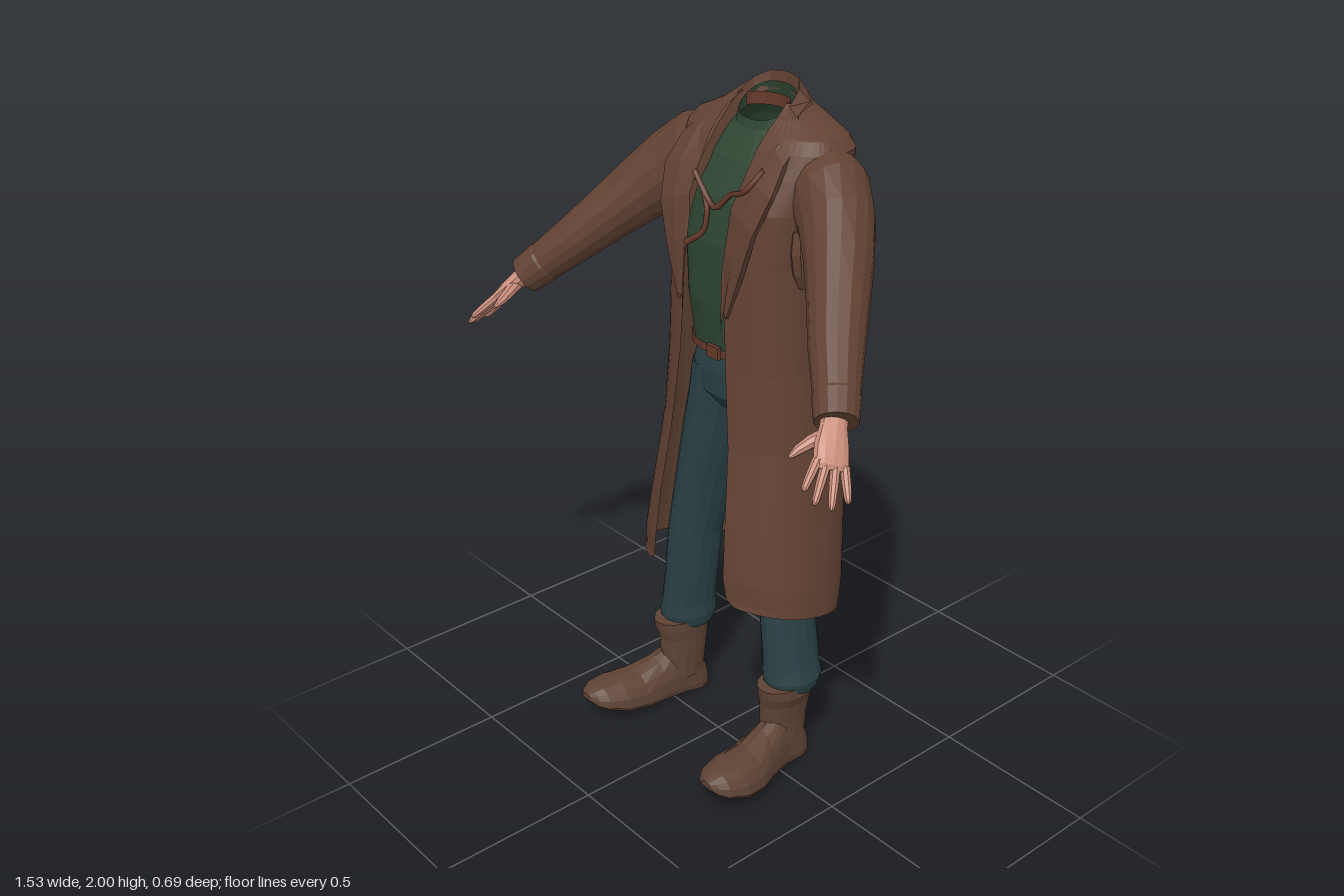
import * as THREE from 'three';

const V = (x, y, z) => new THREE.Vector3(x, y, z);
const mat = (name, color) => {
  const m = new THREE.MeshStandardMaterial({ color, side: THREE.DoubleSide });
  m.name = name;
  return m;
};
const spow = (v, e) => Math.sign(v) * Math.abs(v) ** e;

// Skin a list of point rings; faceted normals, optional closing and end caps
function loft(rings, closed = true, caps = true) {
  const n = rings[0].length, pos = [], idx = [];
  rings.forEach((r) => r.forEach((p) => pos.push(p.x, p.y, p.z)));
  for (let i = 0; i < rings.length - 1; i++) {
    for (let j = 0; j < (closed ? n : n - 1); j++) {
      const a = i * n + j, b = i * n + (j + 1) % n;
      idx.push(a, b, a + n, b, b + n, a + n);
    }
  }
  if (closed && caps) {
    [0, rings.length - 1].forEach((i) => {
      const c = rings[i].reduce((s, p) => s.add(p), V(0, 0, 0)).divideScalar(n);
      const k = pos.length / 3;
      pos.push(c.x, c.y, c.z);
      for (let j = 0; j < n; j++) {
        const a = i * n + j, b = i * n + (j + 1) % n;
        if (i) idx.push(a, b, k); else idx.push(b, a, k);
      }
    });
  }
  let g = new THREE.BufferGeometry();
  g.setAttribute('position', new THREE.Float32BufferAttribute(pos, 3));
  g.setIndex(idx);
  g = g.toNonIndexed();
  g.computeVertexNormals();
  return g;
}

// Horizontal ring around (cx, y, cz)
const ringY = (y, cx, cz, rx, rz, n = 20, e = 1) => Array.from({ length: n }, (_, j) => {
  const a = (j / n) * Math.PI * 2;
  return V(cx + rx * spow(Math.sin(a), e), y, cz + rz * spow(Math.cos(a), e));
});

// Rings square to a path of [x, y, z, r1, r2]; r1 runs along the side direction
function limb(path, n = 12, side = V(0, 1, 0)) {
  const c = path.map((p) => V(p[0], p[1], p[2]));
  return loft(path.map((p, i) => {
    const t = c[Math.min(i + 1, c.length - 1)].clone().sub(c[Math.max(i - 1, 0)]).normalize();
    const u = side.clone().addScaledVector(t, -side.dot(t)).normalize();
    const v = t.clone().cross(u);
    return Array.from({ length: n }, (_, j) => {
      const a = (j / n) * Math.PI * 2;
      return c[i].clone().addScaledVector(u, p[3] * Math.cos(a)).addScaledVector(v, (p[4] ?? p[3]) * Math.sin(a));
    });
  }));
}

export function createModel() {
  const root = new THREE.Group();
  const coatMat = mat('coat brown', 0x624233), bootMat = mat('boot brown', 0x5e4335);
  const denim = mat('trouser teal', 0x2a4146), green = mat('shirt green', 0x2f4632);
  const skin = mat('skin', 0xc88c7a), leather = mat('red leather', 0x66392a);
  const add = (name, geo, m, parent = root) => {
    const mesh = new THREE.Mesh(geo, m);
    mesh.name = name;
    parent.add(mesh);
    return mesh;
  };

  // Coat body, open down the front: y, half width, front z, back z, opening half width
  const coatRows = [
    [1.945, 0.1, -0.15, -0.26, 0.085], [1.915, 0.17, -0.11, -0.28, 0.095], [1.88, 0.245, -0.075, -0.3, 0.095],
    [1.85, 0.27, -0.05, -0.312, 0.093], [1.79, 0.265, -0.015, -0.322, 0.09], [1.7, 0.25, 0.033, -0.325, 0.085],
    [1.55, 0.235, 0.05, -0.32, 0.08], [1.4, 0.24, 0.055, -0.31, 0.085], [1.25, 0.25, 0.06, -0.32, 0.095],
    [1.03, 0.275, 0.075, -0.345, 0.12], [0.8, 0.305, 0.105, -0.335, 0.14], [0.62, 0.33, 0.12, -0.315, 0.15],
    [0.55, 0.335, 0.117, -0.3, 0.16], [0.53, 0.335, 0.115, -0.295, 0.19],
  ];
  const N = 56;
  add('coatBody', loft(coatRows.map(([y, w, zf, zb, xo]) => {
    // boxy chest, rounder skirt
    const e = 0.75 + 0.12 * THREE.MathUtils.clamp((1.4 - y) / 0.4, 0, 1);
    const a0 = Math.asin((xo / w) ** (1 / e)), zc = (zf + zb) / 2, d = (zf - zb) / 2;
    return Array.from({ length: N + 1 }, (_, j) => {
      const a = a0 + (j / N) * (Math.PI * 2 - 2 * a0);
      const x = w * spow(Math.sin(a), e);
      // keep the front edge at its full depth
      let z = zc + d * spow(Math.cos(a) / (Math.cos(a) > 0 ? Math.cos(a0) ** 0.6 : 1), e);
      // back pleat, and a hem that drops toward the back
      const hem = THREE.MathUtils.clamp((0.9 - y) / 0.37, 0, 1);
      const yy = y + hem * (z + 0.09) * 0.2;
      if (z < zc && y < 1.05) z += 0.04 * Math.max(0, 1 - Math.abs(x) / 0.05) * Math.min(1, (1.05 - y) / 0.3);
      return V(x, yy, z);
    });
  }), false), coatMat);

  // Collar and lapels: inner point then outer point, from back of neck to lapel foot
  const half = [
    [0, 2, -0.24, 0, 1.92, -0.283], [0.055, 1.995, -0.23, 0.075, 1.915, -0.278],
    [0.088, 1.975, -0.2, 0.135, 1.9, -0.245], [0.1, 1.94, -0.155, 0.18, 1.89, -0.14],
    [0.098, 1.87, -0.085, 0.2, 1.83, -0.045], [0.09, 1.78, -0.01, 0.21, 1.755, 0.008],
    [0.083, 1.7, 0.03, 0.185, 1.66, 0.046], [0.08, 1.58, 0.05, 0.15, 1.55, 0.055],
    [0.085, 1.42, 0.058, 0.1, 1.41, 0.06],
  ];
  const both = [...half.slice(1).reverse().map((p) => [-p[0], p[1], p[2], -p[3], p[4], p[5]]), ...half];
  add('collar', loft(both.map(([a, b, c, d, e, f]) => [
    V(a * 0.93, b - 0.05, c + 0.004), V(a, b, c),
    V((a + d) / 2, (b + e) / 2 + 0.008, (c + f) / 2 + 0.004), V(d, e, f), V(d * 0.97, e - 0.005, f + (f < -0.2 ? 0.015 : -0.02)),
  ]), false), coatMat);

  // Shirt, open at a neckline that rises toward the back: y, half width, front z, back z, tilt
  add('shirt', loft([
    [1.25, 0.17, 0.005, -0.26, 0], [1.4, 0.19, 0.02, -0.27, 0], [1.58, 0.2, 0.022, -0.28, 0], [1.7, 0.2, 0, -0.285, 0],
    [1.8, 0.18, -0.05, -0.285, 0], [1.86, 0.13, -0.09, -0.265, 0.1], [1.895, 0.09, -0.105, -0.24, 0.35],
    [1.935, 0.084, -0.11, -0.228, 0.65],
  ].map(([y, w, f, b, tilt]) => {
    const ring = ringY(y, 0, (f + b) / 2, w, (f - b) / 2, 28, 0.8);
    ring.forEach((p) => { p.y -= (p.z + 0.17) * tilt; });
    return ring;
  }), true, false), green);
  // Neckband lining at the back of the neck
  add('neckband', new THREE.CylinderGeometry(0.076, 0.076, 0.035, 12, 1, true, Math.PI / 2, Math.PI)
    .scale(1, 1, 0.7).translate(0, 1.925, -0.165), leather);

  // Trouser seat, belt and buckle
  add('trouserSeat', loft([
    [1.28, 0.16, 0.12], [1.2, 0.175, 0.13], [1.13, 0.17, 0.125], [1.08, 0.1, 0.085], [1.072, 0.004, 0.004],
  ].map(([y, w, d]) => ringY(y, 0, -0.12, w, d, 24, 0.85)), true, false), denim);
  add('belt', loft([1.258, 1.282].map((y) => ringY(y, 0, -0.125, 0.18, 0.14, 28, 0.8)), true, false), leather);
  add('buckle', new THREE.BoxGeometry(0.05, 0.036, 0.012).translate(0, 1.27, 0.018), leather);

  // Neck cord with a hanging loop
  const cord = (name, pts) => add(name, new THREE.TubeGeometry(
    new THREE.CatmullRomCurve3(pts.map((p) => V(...p))), 20, 0.008, 6), leather);
  cord('neckCord', [[0.15, 1.81, -0.022], [0.12, 1.755, 0.014], [0.05, 1.725, 0.004], [0, 1.68, 0.012],
    [-0.04, 1.7, 0.006], [-0.09, 1.76, 0.006]]);
  cord('cordLoop', [[-0.06, 1.72, 0.002], [-0.03, 1.67, 0.015], [-0.035, 1.61, 0.025], [-0.08, 1.57, 0.048]]);

  for (const s of [1, -1]) {
    const side = new THREE.Group();
    side.name = s > 0 ? 'leftLimbs' : 'rightLimbs';
    root.add(side);
    const m = (path) => path.map(([x, ...r]) => [x * s, ...r]);

    // Sleeve with a turned cuff
    add('sleeve', limb(m([
      [0.13, 1.795, -0.18, 0.08, 0.085], [0.19, 1.775, -0.175, 0.105, 0.098], [0.25, 1.743, -0.16, 0.12, 0.108],
      [0.32, 1.69, -0.12, 0.112, 0.1], [0.39, 1.625, -0.062, 0.096, 0.09], [0.46, 1.55, 0.006, 0.081, 0.08],
      [0.53, 1.47, 0.077, 0.07, 0.071], [0.6, 1.395, 0.142, 0.06, 0.06], [0.605, 1.39, 0.147, 0.062, 0.062],
      [0.645, 1.348, 0.185, 0.056, 0.056],
    ]), 16), coatMat, side);
    // Loose cloth under the armpit
    add('armpitFold', loft([[1.66, 0.03, 0.075], [1.6, 0.045, 0.08], [1.54, 0.04, 0.07], [1.5, 0.025, 0.05]]
      .map(([y, rx, rz]) => ringY(y, 0.235 * s, -0.125, rx, rz, 12))), coatMat, side);

    // Hand: palm, four fingers and thumb
    const spread = V(0.51 * s, -0.34, -0.77);
    add('palm', limb(m([
      [0.625, 1.37, 0.17, 0.034, 0.03], [0.65, 1.34, 0.2, 0.036, 0.026], [0.675, 1.305, 0.228, 0.046, 0.022],
      [0.698, 1.274, 0.252, 0.046, 0.015], [0.704, 1.266, 0.258, 0.038, 0.008],
    ]), 12, spread), skin, side);
    [[0.7, 1.24, 0.343], [0.73, 1.212, 0.335], [0.757, 1.198, 0.305], [0.763, 1.2, 0.255]].forEach((tip, i) => {
      const o = -0.036 + i * 0.024;
      const base = [0.694 + 0.51 * o, 1.278 - 0.34 * o, 0.248 - 0.77 * o];
      const at = (t, r) => [...base.map((b, k) => b + (tip[k] - b) * t), r];
      add('finger', limb(m([at(0, 0.013), at(0.5, 0.012), at(0.9, 0.009), at(1, 0.004)]), 8, spread), skin, side);
    });
    add('thumb', limb(m([
      [0.65, 1.33, 0.21, 0.02], [0.632, 1.315, 0.255, 0.017], [0.623, 1.3, 0.29, 0.013], [0.62, 1.288, 0.315, 0.005],
    ]), 8, spread), skin, side);

    // Trouser leg: y, centre x, centre z, half width, half depth
    add('trouserLeg', loft([
      [1.2, 0.085, -0.12, 0.085, 0.125], [1.1, 0.098, -0.12, 0.096, 0.122], [0.98, 0.125, -0.11, 0.095, 0.11],
      [0.8, 0.165, -0.1, 0.085, 0.1], [0.6, 0.203, -0.085, 0.078, 0.088], [0.45, 0.217, -0.08, 0.076, 0.086],
      [0.34, 0.232, -0.08, 0.077, 0.088], [0.3, 0.236, -0.08, 0.083, 0.092], [0.27, 0.236, -0.08, 0.076, 0.086],
      [0.255, 0.236, -0.08, 0.066, 0.078],
    ].map(([y, cx, cz, rx, rz]) => ringY(y, cx * s, cz, rx, rz, 16)), true, false), denim, side);

    // Boot shaft, then foot as sections along z: z, centre x, half width, bottom, top
    add('bootShaft', loft([
      [0.285, 0.238, -0.052, 0.066, 0.094], [0.255, 0.238, -0.055, 0.068, 0.093], [0.22, 0.233, -0.058, 0.06, 0.086],
      [0.16, 0.23, -0.054, 0.056, 0.08], [0.08, 0.231, -0.05, 0.055, 0.075],
    ].map(([y, cx, cz, rx, rz]) => ringY(y, cx * s, cz, rx, rz, 16))), bootMat, side);
    add('bootFoot', loft([
      [-0.122, 0.23, 0.04, 0.003, 0.1], [-0.09, 0.232, 0.054, 0.002, 0.17], [-0.02, 0.238, 0.057, 0.014, 0.19],
      [0.05, 0.25, 0.067, 0.022, 0.155], [0.12, 0.265, 0.083, 0.028, 0.133], [0.19, 0.273, 0.086, 0.04, 0.135],
      [0.25, 0.278, 0.068, 0.062, 0.13], [0.275, 0.28, 0.046, 0.075, 0.122], [0.29, 0.281, 0.02, 0.09, 0.11],
    ].map(([z, cx, hw, yb, yt]) => Array.from({ length: 16 }, (_, j) => {
      const a = (j / 16) * Math.PI * 2, up = Math.sin(a);
      const lo = yb + (yt - yb) * 0.18;
      // flat sole below, rounded upper above
      return V(s * cx + hw * spow(Math.cos(a), 0.9), up > 0 ? lo + (yt - lo) * up : lo + (lo - yb) * spow(up, 0.4), z);
    }))), bootMat, side);
  }
  return root;
}
